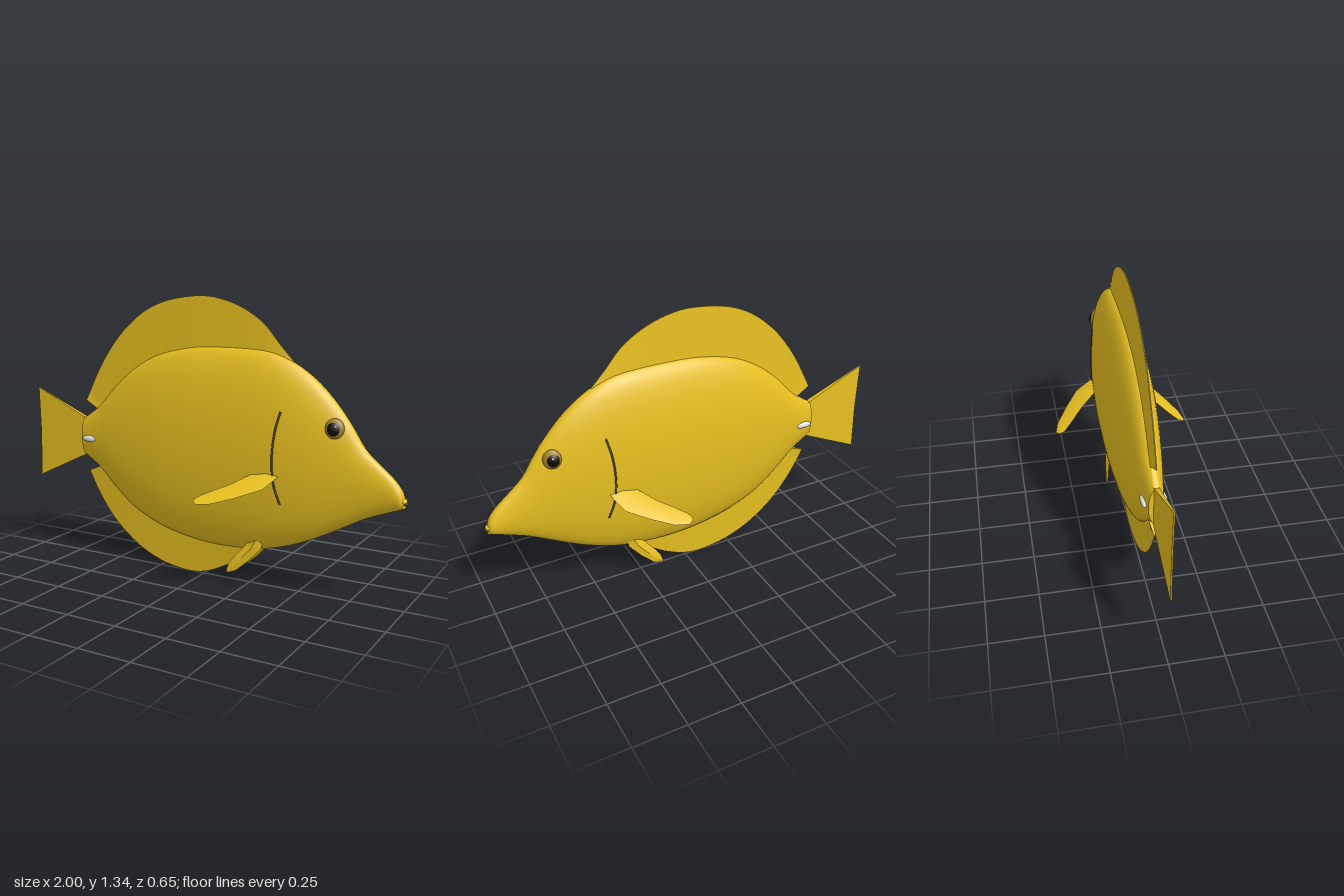
import * as THREE from 'three';
import { toCreasedNormals } from 'three/addons/utils/BufferGeometryUtils.js';

const V = (x, y, z = 0) => new THREE.Vector3(x, y, z);
const mat = (name, color) => new THREE.MeshStandardMaterial({ name, color });

// Body stations: x, top, bottom, half width
const BODY = [
  [-0.70, 0.72, 0.53, 0.034], [-0.60, 0.79, 0.465, 0.052], [-0.50, 0.895, 0.37, 0.07],
  [-0.40, 0.98, 0.29, 0.085], [-0.30, 1.04, 0.24, 0.096], [-0.20, 1.078, 0.205, 0.105],
  [-0.05, 1.108, 0.175, 0.111], [0.10, 1.115, 0.165, 0.113], [0.25, 1.113, 0.173, 0.112],
  [0.36, 1.10, 0.19, 0.108], [0.46, 1.06, 0.22, 0.10], [0.56, 0.995, 0.262, 0.087],
  [0.65, 0.91, 0.308, 0.071], [0.73, 0.81, 0.352, 0.057], [0.80, 0.705, 0.39, 0.046],
  [0.87, 0.64, 0.42, 0.038], [0.93, 0.588, 0.443, 0.033], [0.965, 0.545, 0.456, 0.029],
  [0.98, 0.51, 0.468, 0.016],
];

// Interpolated body station at x
function bodyAt(x) {
  let i = 0;
  while (i < BODY.length - 2 && BODY[i + 1][0] < x) i++;
  const a = BODY[i], b = BODY[i + 1], t = (x - a[0]) / (b[0] - a[0]);
  return a.map((v, k) => v + (b[k] - v) * t);
}

// Half width of the body surface at a point of its side outline
function sideZ(x, y) {
  const [, top, bottom, w] = bodyAt(x);
  const k = (y - (top + bottom) / 2) / ((top - bottom) / 2);
  return w * Math.sqrt(Math.max(0, 1 - k * k));
}

// Closed skin over rings of equal point count, capped at both ends
function loft(rings, crease = 0.6) {
  const n = rings[0].length, last = (rings.length - 1) * n, pts = rings.flat(), index = [];
  for (let i = 0; i < rings.length - 1; i++) {
    for (let j = 0; j < n; j++) {
      const a = i * n + j, b = i * n + (j + 1) % n;
      index.push(a, b, a + n, b, b + n, a + n);
    }
  }
  for (let j = 1; j < n - 1; j++) index.push(0, j + 1, j, last, last + j, last + j + 1);
  // Turn the faces outward whichever way the rings run
  let volume = 0;
  const c = V(0, 0, 0);
  for (let i = 0; i < index.length; i += 3) {
    const [p, q, r] = [0, 1, 2].map((k) => pts[index[i + k]]);
    volume += p.dot(c.crossVectors(q, r));
  }
  if (volume < 0) index.reverse();
  const geo = new THREE.BufferGeometry().setFromPoints(pts);
  geo.setIndex(index);
  return toCreasedNormals(geo, crease);
}

function smooth(points, count) {
  const curve = new THREE.CatmullRomCurve3(points, false, 'catmullrom', 0.5);
  return curve.getPoints(count);
}

function bodyGeometry() {
  const count = 72;
  const outline = smooth(BODY.map((s) => V(s[0], s[1], s[2])), count);
  const width = smooth(BODY.map((s) => V(s[3], 0)), count);
  return loft(outline.map(({ x, y: top, z: bottom }, i) =>
    Array.from({ length: 56 }, (_, j) => {
      const a = (j / 56) * Math.PI * 2;
      return V(x, (top + bottom) / 2 + Math.cos(a) * (top - bottom) / 2, Math.sin(a) * width[i].x);
    })), 0.8);
}

// Upright fin, thick at the inner edge and thin at the outer one
function uprightFin(inner, outer, thick, thin) {
  return loft(inner.map((p, i) => [
    V(p.x, p.y, thick), V(outer[i].x, outer[i].y, thin),
    V(outer[i].x, outer[i].y, -thin), V(p.x, p.y, -thick),
  ]));
}

// Fin along the back or belly, rooted just inside the body
function medianFin(outline, rootStart, side) {
  const outer = smooth(outline.map((p) => V(...p)), 40);
  const endX = outer[40].x;
  const inner = outer.map((_, i) => {
    const x = rootStart[0] + (endX - rootStart[0]) * i / 40;
    return V(x, i ? bodyAt(x)[side] + (side === 1 ? -0.03 : 0.03) : rootStart[1]);
  });
  return uprightFin(inner, outer, 0.012, 0.002);
}

// Paired fin: lens sections between a front and a rear edge
function pairedFin(front, rear, normal, thick) {
  return loft(front.map((f, i) => {
    const mid = f.clone().add(rear[i]).multiplyScalar(0.5);
    const off = normal.clone().multiplyScalar(thick * (1 - 0.85 * i / (front.length - 1)));
    return [f, mid.clone().add(off), rear[i], mid.clone().sub(off)];
  }), 0.5);
}

export function createModel() {
  const fish = new THREE.Group();
  fish.name = 'fish';
  const yellow = mat('yellow', 0xeac220);
  const gold = mat('eye gold', 0x9a7a1c);
  const black = mat('pupil black', 0x080808);
  const white = mat('spine white', 0xe4e4e0);
  const brown = mat('gill brown', 0x5a4810);

  const add = (name, geo, material, parent = fish) => {
    const mesh = new THREE.Mesh(geo, material);
    mesh.name = name;
    parent.add(mesh);
    return mesh;
  };
  const ball = (name, material, pos, scale, parent = fish) => {
    const mesh = add(name, new THREE.SphereGeometry(1, 24, 16), material, parent);
    mesh.position.set(...pos);
    mesh.scale.set(...scale);
    return mesh;
  };

  add('body', bodyGeometry(), yellow);

  // Fins on the centre line
  add('dorsalFin', medianFin([
    [-0.69, 0.81], [-0.60, 0.98], [-0.50, 1.12], [-0.40, 1.217], [-0.30, 1.283], [-0.18, 1.325],
    [-0.02, 1.345], [0.10, 1.33], [0.21, 1.29], [0.31, 1.225], [0.39, 1.135], [0.47, 1.05],
  ], [-0.62, 0.775], 1), yellow);
  add('analFin', medianFin([
    [-0.68, 0.445], [-0.62, 0.335], [-0.54, 0.225], [-0.45, 0.14], [-0.35, 0.073], [-0.23, 0.025],
    [-0.10, 0.005], [0.00, 0.014], [0.10, 0.055], [0.18, 0.105], [0.24, 0.15], [0.30, 0.19],
  ], [-0.61, 0.475], 2), yellow);
  add('tailFin', uprightFin(
    [V(-0.69, 0.53), V(-0.69, 0.625), V(-0.69, 0.72)],
    [V(-1, 0.385), V(-0.994, 0.62), V(-1, 0.855)], 0.012, 0.003), yellow);

  // Mouth
  ball('upperLip', yellow, [0.974, 0.495, 0], [0.018, 0.014, 0.02]);
  ball('lowerLip', yellow, [0.970, 0.472, 0], [0.016, 0.012, 0.018]);
  ball('mouth', brown, [0.984, 0.485, 0], [0.014, 0.006, 0.014]);

  for (const s of [1, -1]) {
    const side = s > 0 ? 'right' : 'left';

    // Pectoral fin, sloping down and out
    const pectoral = ([x, z]) => V(x, 0.555 - (z - 0.11) * 0.5, z * s);
    add(side + 'PectoralFin', pairedFin(
      [[0.44, 0.09], [0.40, 0.19], [0.30, 0.26], [0.21, 0.312], [0.145, 0.327], [0.12, 0.312]].map(pectoral),
      [[0.32, 0.09], [0.27, 0.145], [0.235, 0.185], [0.18, 0.23], [0.13, 0.275], [0.117, 0.295]].map(pectoral),
      V(0, 0.9, 0.45 * s), 0.01), yellow);

    // Pelvic fin, hanging under the belly
    const pelvic = ([x, y]) => V(x, y, (0.042 + (0.21 - y) * 0.2) * s);
    add(side + 'PelvicFin', pairedFin(
      [[0.335, 0.235], [0.33, 0.195], [0.27, 0.128], [0.21, 0.075], [0.165, 0.058]].map(pelvic),
      [[0.27, 0.225], [0.235, 0.185], [0.195, 0.14], [0.168, 0.10], [0.16, 0.07]].map(pelvic),
      V(0, 0, 1), 0.017), yellow);

    // Gill slit following the flank
    const slit = [[0.437, 0.85], [0.417, 0.77], [0.406, 0.68], [0.405, 0.59], [0.415, 0.51], [0.44, 0.43]]
      .map(([x, y]) => V(x, y, sideZ(x, y) * s));
    add(side + 'GillSlit', new THREE.TubeGeometry(new THREE.CatmullRomCurve3(slit), 32, 0.005, 6), brown);

    // Eye, turned along the slope of the head
    const eye = new THREE.Group();
    eye.name = side + 'Eye';
    eye.position.set(0.675, 0.79, (sideZ(0.675, 0.79) + 0.001) * s);
    eye.lookAt(0.675 + 0.3, 0.79 + 0.2, eye.position.z + s);
    fish.add(eye);
    ball('eyeball', gold, [0, 0, 0], [0.042, 0.045, 0.018], eye);
    ball('pupil', black, [-0.004 * s, -0.003, 0.009], [0.029, 0.031, 0.014], eye);
    ball('glint', white, [0.004, 0.008, 0.0215], [0.005, 0.005, 0.003], eye);

    // Tail spine
    ball(side + 'TailSpine', white, [-0.645, 0.62, 0.046 * s], [0.043, 0.016, 0.012]);
  }
  return fish;
}
